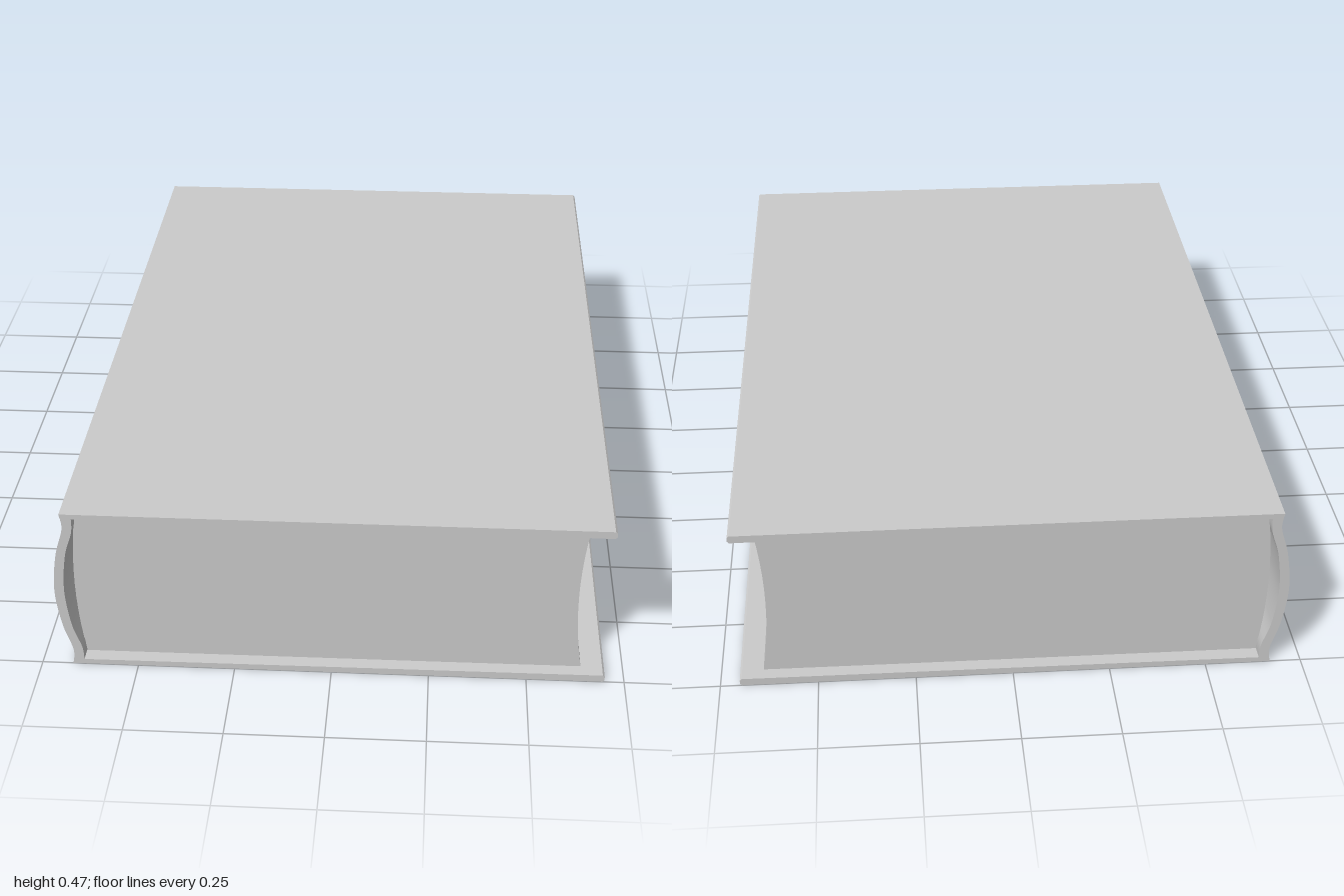
import * as THREE from 'three';
import { toCreasedNormals } from 'three/addons/utils/BufferGeometryUtils.js';

const material = new THREE.MeshStandardMaterial({ color: 0xcccccc });

// Extrude a front-facing profile to the given length, centred on z = 0
function extrudePart(name, shape, length) {
  const geometry = new THREE.ExtrudeGeometry(shape, { depth: length, bevelEnabled: false, curveSegments: 10 });
  geometry.translate(0, 0, -length / 2);
  const mesh = new THREE.Mesh(toCreasedNormals(geometry, 0.6), material);
  mesh.name = name;
  return mesh;
}

const points = (list) => list.map(([x, y]) => new THREE.Vector2(x, y));

export function createModel() {
  const book = new THREE.Group();
  book.name = 'book';

  // Case: both boards and the rounded spine form one folded C-shaped profile
  const cover = new THREE.Shape();
  cover.moveTo(-0.67, 0);
  cover.lineTo(0.695, 0);
  cover.lineTo(0.7, 0.005);
  cover.lineTo(0.7, 0.015);
  cover.lineTo(0.695, 0.02);
  cover.lineTo(-0.64, 0.014);
  cover.splineThru(points([[-0.643, 0.055], [-0.664, 0.125], [-0.675, 0.2325], [-0.664, 0.34], [-0.643, 0.41], [-0.64, 0.451]]));
  cover.lineTo(0.695, 0.445);
  cover.lineTo(0.7, 0.45);
  cover.lineTo(0.7, 0.46);
  cover.lineTo(0.695, 0.465);
  cover.lineTo(-0.67, 0.465);
  cover.splineThru(points([[-0.666, 0.42], [-0.688, 0.34], [-0.7, 0.2325], [-0.688, 0.125], [-0.666, 0.045], [-0.67, 0]]));
  book.add(extrudePart('cover', cover, 2));

  // Page block: rounded at the spine, hollowed along the opening edge
  const pages = new THREE.Shape();
  pages.moveTo(-0.638, 0.016);
  pages.lineTo(0.64, 0.019);
  pages.quadraticCurveTo(0.604, 0.2325, 0.64, 0.446);
  pages.lineTo(-0.638, 0.449);
  pages.quadraticCurveTo(-0.672, 0.2325, -0.638, 0.016);
  book.add(extrudePart('pages', pages, 1.93));

  return book;
}
